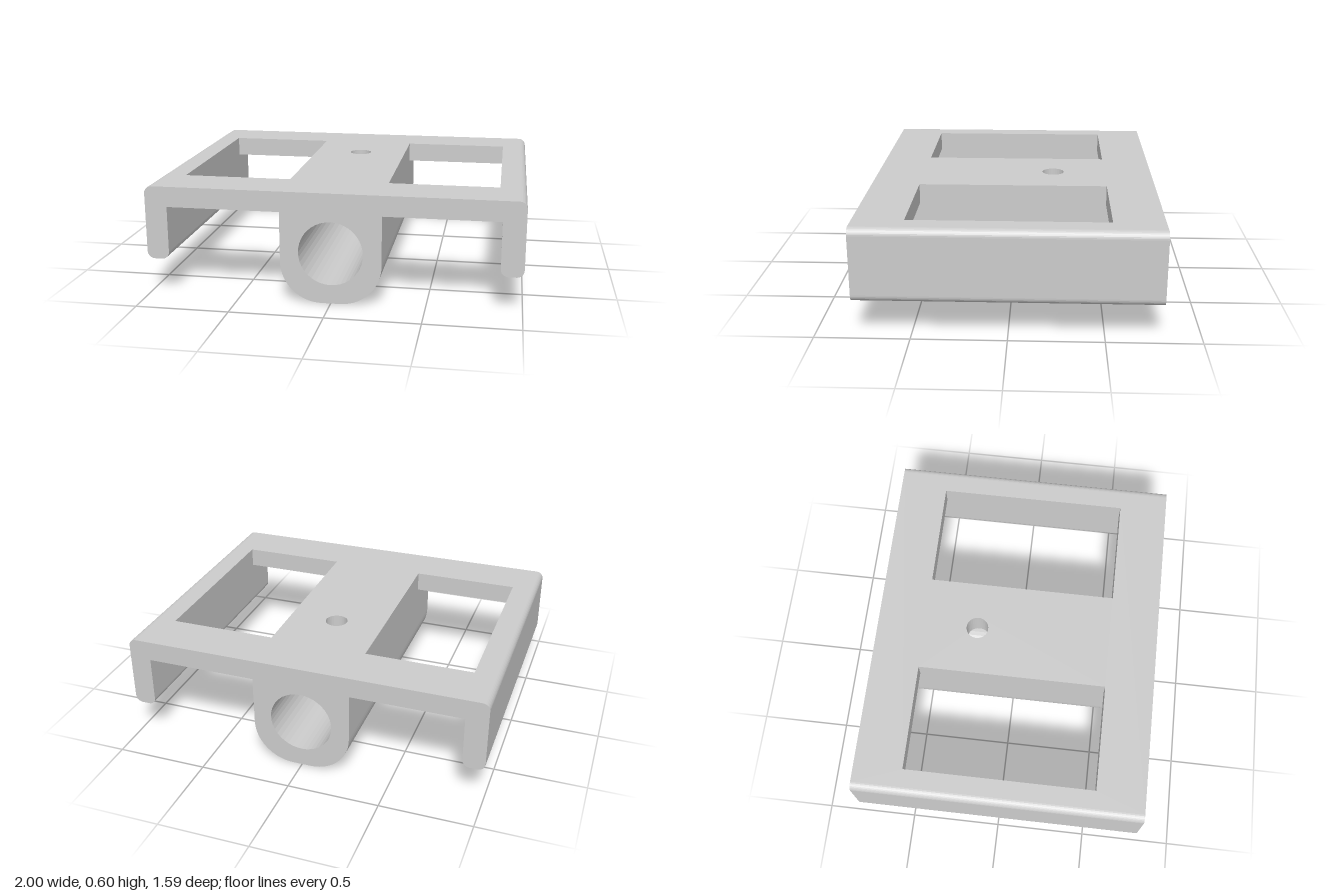
import * as THREE from 'three';

const D = 0.797, W = 0.527;              // half depth of body and of windows
const TOP = 0.6, UNDER = 0.49;           // plate heights
const HUB = 0.27, WIN = 0.86, FLANGE = 0.88;
const BORE_R = 0.172, BORE_Y = 0.275, SEGS = 40;
const DRILL_R = 0.062, DRILL_Z = -0.227;

const v2 = (x, y) => new THREE.Vector2(x, y);
const v3 = (x, y, z) => new THREE.Vector3(x, y, z);

function arc(cx, cy, r, a0, a1, n) {
  return Array.from({ length: n + 1 }, (_, i) => {
    const a = (a0 + (a1 - a0) * i / n) * Math.PI;
    return v2(cx + r * Math.cos(a), cy + r * Math.sin(a));
  });
}

// Strip of quads between two rows of points
function loft(a, b) {
  const pts = [];
  for (let i = 0; i < a.length - 1; i++) pts.push(a[i], a[i + 1], b[i + 1], a[i], b[i + 1], b[i]);
  const g = new THREE.BufferGeometry().setFromPoints(pts);
  g.computeVertexNormals();
  return g;
}

// Profile path drawn out along z
const sweep = (path, z0 = -D, z1 = D) =>
  loft(path.map(p => v3(p.x, p.y, z0)), path.map(p => v3(p.x, p.y, z1)));

const rect = (x0, x1, z) => [v2(x0, -z), v2(x1, -z), v2(x1, z), v2(x0, z)];
const mirror = path => path.map(p => v2(-p.x, p.y)).reverse();

// Point on the bore, counted in facets clockwise from its top
const borePoint = i => {
  const a = i * 2 * Math.PI / SEGS;
  return v2(BORE_R * Math.sin(a), BORE_Y + BORE_R * Math.cos(a));
};
const borePath = (i0, i1) => Array.from({ length: i1 - i0 + 1 }, (_, i) => borePoint(i0 + i));
const onBore = (x, z) => v3(x, BORE_Y + Math.sqrt(BORE_R ** 2 - x * x), z);

export function createModel() {
  const model = new THREE.Group();
  const material = new THREE.MeshStandardMaterial({ color: 0xcccccc, flatShading: true });
  const add = (name, geometry) => {
    const mesh = new THREE.Mesh(geometry, material);
    mesh.name = name;
    model.add(mesh);
    return mesh;
  };

  // Outline pieces, anticlockwise
  const hub = [v2(-HUB, UNDER), ...arc(-0.05, 0.22, 0.22, 1, 1.5, 14),
    ...arc(0.05, 0.22, 0.22, 1.5, 2, 14), v2(HUB, UNDER)];
  const flange = [v2(FLANGE, UNDER), ...arc(0.92, 0.24, 0.04, 1, 1.5, 8),
    ...arc(0.96, 0.24, 0.04, 1.5, 2, 8), ...arc(0.96, 0.56, 0.04, 0, 0.5, 8)];

  add('hub', sweep(hub));
  add('leftFlange', sweep(flange));
  add('rightFlange', sweep(mirror(flange)));

  // End faces with the bore opening
  const end = new THREE.Shape([...hub, ...flange, ...mirror(flange)]);
  end.holes.push(new THREE.Path(borePath(0, SEGS - 1)));
  const endGeometry = new THREE.ShapeGeometry(end);
  add('frontFace', endGeometry).position.z = D;
  const back = add('backFace', endGeometry);
  back.position.z = -D;
  back.rotation.y = Math.PI;

  // Plate top with two windows and the drilled hole
  const top = new THREE.Shape(rect(-0.96, 0.96, D));
  top.holes.push(new THREE.Path(rect(HUB, WIN, W)), new THREE.Path(rect(-WIN, -HUB, W)),
    new THREE.Path(arc(0, -DRILL_Z, DRILL_R, -0.25, 1.75, 32).slice(0, -1)));
  add('plateTop', new THREE.ShapeGeometry(top).rotateX(-Math.PI / 2).translate(0, TOP, 0));

  // Plate underside and window walls
  for (const [side, s] of [['left', 1], ['right', -1]]) {
    const under = [v2(HUB, -D), v2(FLANGE, -D), v2(FLANGE, D), v2(HUB, D),
      v2(HUB, W), v2(WIN, W), v2(WIN, -W), v2(HUB, -W)].map(p => v2(s * p.x, p.y));
    add(side + 'Underside',
      new THREE.ShapeGeometry(new THREE.Shape(under)).rotateX(Math.PI / 2).translate(0, UNDER, 0));

    const loop = s > 0 ? rect(HUB, WIN, W) : rect(-WIN, -HUB, W);
    loop.push(loop[0]);
    add(side + 'WindowWalls',
      loft(loop.map(p => v3(p.x, UNDER, p.y)), loop.map(p => v3(p.x, TOP, p.y))));
  }

  // Bore, leaving a square patch around the drilled hole
  const K = 4, half = borePoint(K).x;
  add('bore', sweep(borePath(K, SEGS - K)));
  add('boreRoofBack', sweep(borePath(-K, K), -D, DRILL_Z - half));
  add('boreRoofFront', sweep(borePath(-K, K), DRILL_Z + half, D));

  const square = [];
  for (let i = 0; i <= 32; i++) {
    const f = borePoint(i % 8 - K).x;
    const [x, z] = [[half, f], [-f, half], [-half, -f], [f, -half]][Math.floor(i / 8) % 4];
    square.push(onBore(x, DRILL_Z + z));
  }
  const circle = arc(0, DRILL_Z, DRILL_R, -0.25, 1.75, 32);
  const rim = circle.map(p => onBore(p.x, p.y));
  add('boreRoofPatch', loft(square, rim));
  add('drilledHole', loft(rim, circle.map(p => v3(p.x, TOP, p.y))));

  return model;
}
